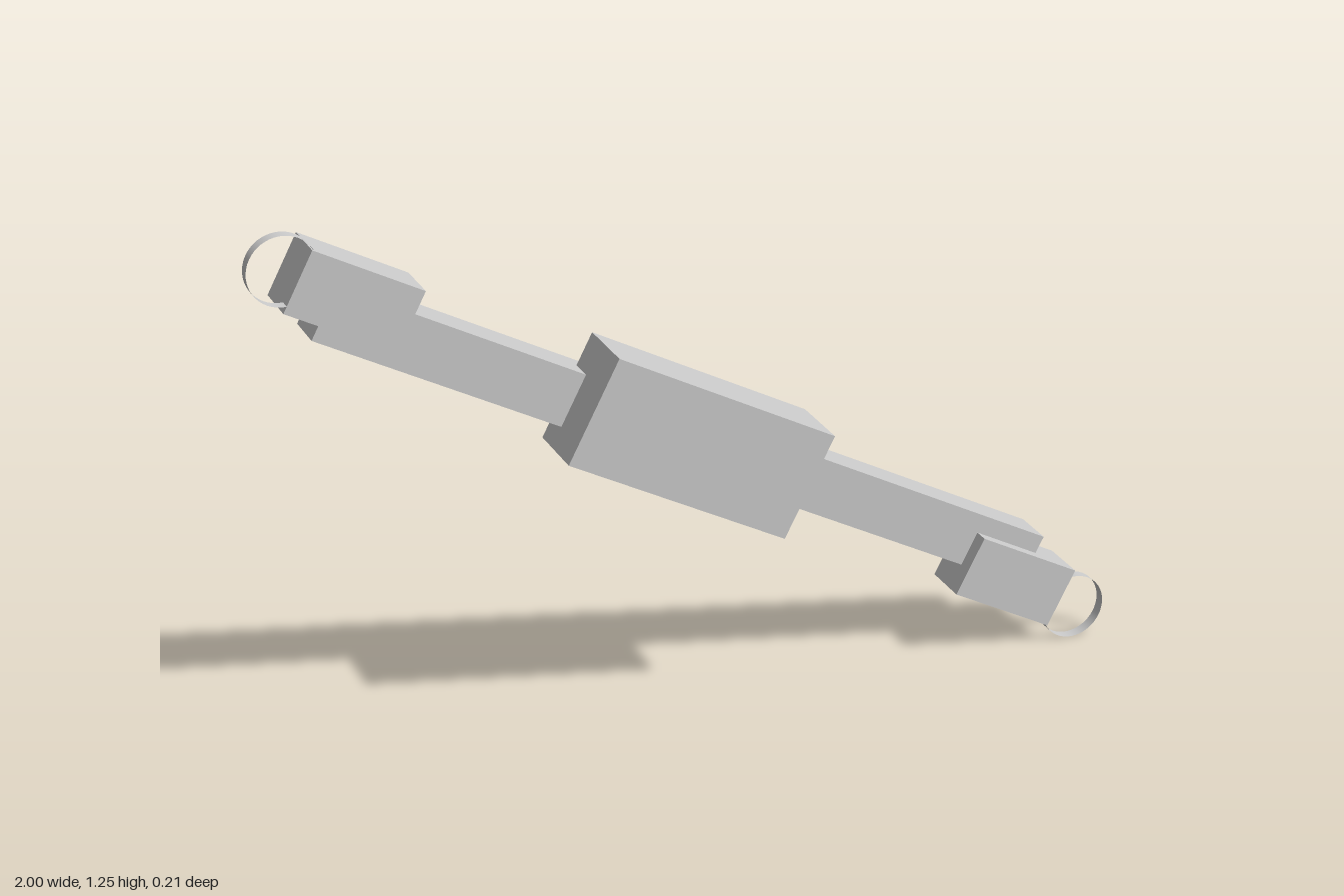
import * as THREE from 'three';

const grey = new THREE.MeshStandardMaterial({ color: 0xcccccc });
const greyThin = new THREE.MeshStandardMaterial({ color: 0xcccccc, side: THREE.DoubleSide });

// Box centred at (x, y), reaching from zBack to zFront
function block(name, w, h, zBack, zFront, x, y) {
  const mesh = new THREE.Mesh(new THREE.BoxGeometry(w, h, zFront - zBack), grey);
  mesh.name = name;
  mesh.position.set(x, y, (zBack + zFront) / 2);
  return mesh;
}

// End block with its thin open ring
function endPiece(name) {
  const end = new THREE.Group();
  end.name = name;
  end.add(block('endBlock', 0.268, 0.145, -0.08, 0.036, 0.899, -0.052));

  const band = new THREE.CylinderGeometry(0.077, 0.077, 0.027, 48, 1, true);
  band.rotateX(Math.PI / 2);
  const ring = new THREE.Mesh(band, greyThin);
  ring.name = 'endRing';
  ring.position.set(1.073, -0.062, 0.0225);
  end.add(ring);
  return end;
}

export function createModel() {
  const model = new THREE.Group();
  model.name = 'handleBar';

  // Everything lies along one tilted axis
  const tilted = new THREE.Group();
  tilted.name = 'tiltedAssembly';
  tilted.position.y = 0.627;
  tilted.rotation.z = THREE.MathUtils.degToRad(-27.4);
  model.add(tilted);

  tilted.add(block('longBar', 1.872, 0.126, -0.104, 0, 0, 0));
  tilted.add(block('centreBlock', 0.565, 0.255, -0.058, 0.105, -0.042, 0.015));

  // The two ends are the same piece turned half way round
  const lowerEnd = endPiece('lowerEnd');
  const upperEnd = endPiece('upperEnd');
  upperEnd.rotation.z = Math.PI;
  tilted.add(lowerEnd, upperEnd);

  return model;
}
